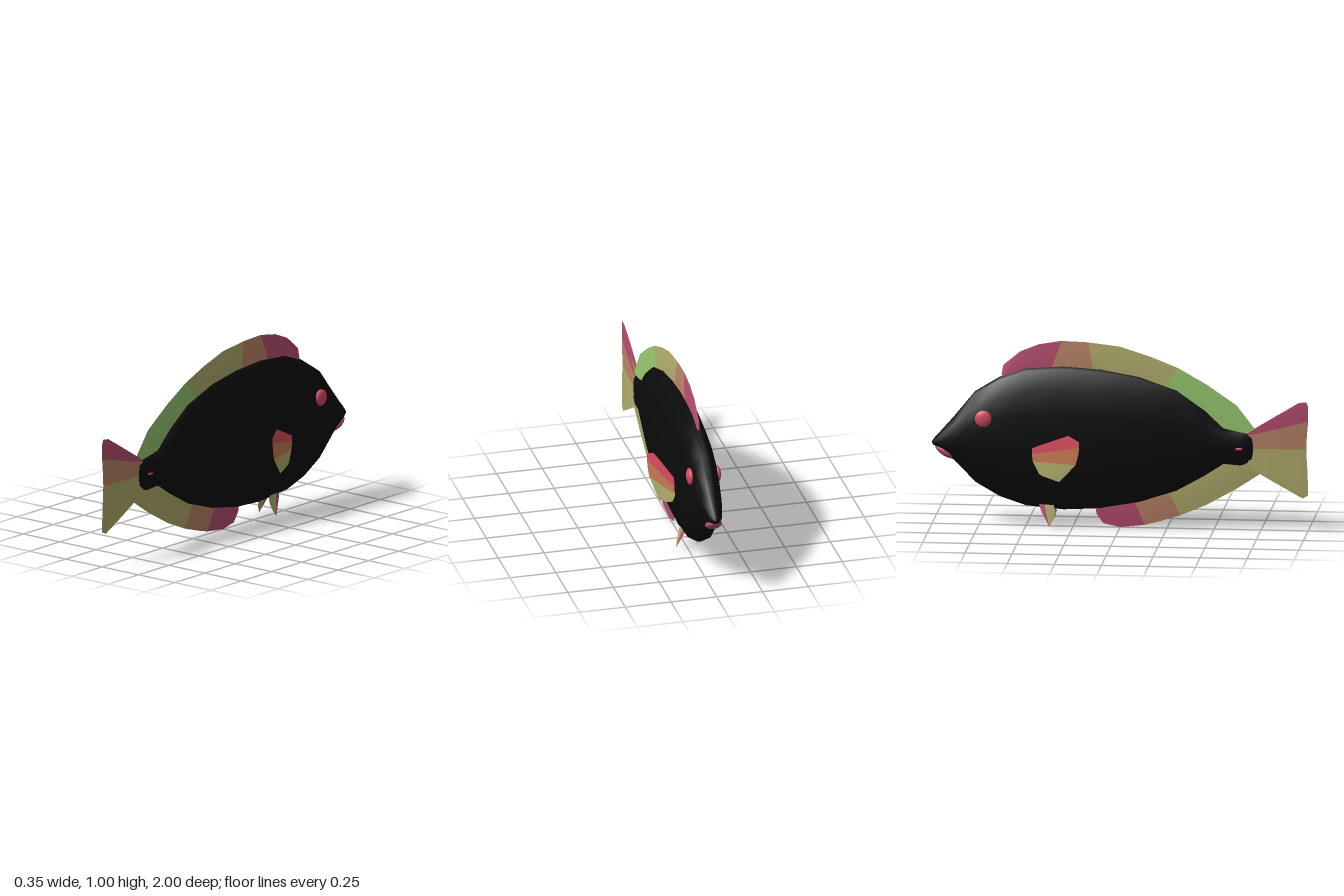
import * as THREE from 'three';

const mat = (name, color, side = THREE.DoubleSide) => {
  const m = new THREE.MeshStandardMaterial({ color, side });
  m.name = name;
  return m;
};

function makeGeometry(positions, index) {
  const g = new THREE.BufferGeometry();
  g.setAttribute('position', new THREE.Float32BufferAttribute(positions, 3));
  g.setIndex(index);
  g.computeVertexNormals();
  return g;
}

// Body lofted from cross-sections: [z, top, bottom, half width]
function bodyGeometry() {
  const sections = [
    [0.72, 0.47, 0.41, 0.005], [0.70, 0.52, 0.36, 0.015], [0.64, 0.53, 0.345, 0.03],
    [0.55, 0.55, 0.352, 0.036], [0.45, 0.645, 0.285, 0.046], [0.3, 0.75, 0.2, 0.062],
    [0.1, 0.82, 0.135, 0.08], [-0.1, 0.855, 0.1, 0.088], [-0.3, 0.868, 0.09, 0.09],
    [-0.5, 0.853, 0.108, 0.088], [-0.64, 0.8, 0.155, 0.086], [-0.77, 0.72, 0.23, 0.077],
    [-0.88, 0.585, 0.345, 0.06], [-0.95, 0.505, 0.395, 0.042], [-0.99, 0.46, 0.425, 0.022],
    [-1, 0.445, 0.435, 0.008],
  ];
  const quarter = [[0, 1], [0.33, 0.96], [0.78, 0.675], [0.95, 0.34], [1, 0]];
  const down = quarter.slice(0, 4).reverse().map(([x, y]) => [x, -y]);
  const half = [...quarter, ...down];
  const ring = [...half, ...half.slice(1, -1).reverse().map(([x, y]) => [-x, y])];
  const n = ring.length, pos = [], idx = [];
  for (const [z, top, bottom, w] of sections) {
    for (const [x, y] of ring) pos.push(x * w, (top + bottom) / 2 + y * (top - bottom) / 2, z);
  }
  for (let i = 0; i < sections.length - 1; i++) {
    for (let j = 0; j < n; j++) {
      const a = i * n + j, b = i * n + (j + 1) % n;
      idx.push(a, a + n, b, b, a + n, b + n);
    }
  }
  // End caps
  const last = (sections.length - 1) * n;
  for (let j = 1; j < n - 1; j++) {
    idx.push(0, j + 1, j);
    idx.push(last, last + j, last + j + 1);
  }
  // Orient every face outward
  const g = makeGeometry(pos, idx);
  return g;
}

// Tapered fin: rows [rootZ, rootY, tipZ, tipY]; bands [last row, material]
function fin(name, rows, bands, thickness, xAt = () => 0) {
  const steps = 4, w = steps + 1, pos = [], idx = [], groups = [];
  for (const side of [1, -1]) {
    for (const [az, ay, bz, by] of rows) {
      for (let j = 0; j <= steps; j++) {
        const t = j / steps;
        const z = az + (bz - az) * t, y = ay + (by - ay) * t;
        pos.push(xAt(y, z) + side * thickness * (1 - t * t), y, z);
      }
    }
  }
  let row = 0;
  bands.forEach(([end], k) => {
    const start = idx.length;
    for (const s of [0, 1]) {
      for (let i = row; i < end; i++) {
        for (let j = 0; j < steps; j++) {
          const a = s * rows.length * w + i * w + j, b = a + 1, c = a + w, d = c + 1;
          if (s) idx.push(a, c, b, b, c, d);
          else idx.push(a, b, c, b, d, c);
        }
      }
    }
    groups.push([start, idx.length - start, k]);
    row = end;
  });
  const g = makeGeometry(pos, idx);
  groups.forEach((p) => g.addGroup(...p));
  const mesh = new THREE.Mesh(g, bands.map((b) => b[1]));
  mesh.name = name;
  return mesh;
}

export function createModel() {
  const black = mat('black skin', 0x0b0b0b);
  const green = mat('green fin', 0x96c870);
  const khaki = mat('khaki fin', 0xb2ad6c);
  const orange = mat('dusty orange fin', 0xba8468);
  const pink = mat('pink fin', 0xb84e70);
  const red = mat('red', 0xd84c5e);
  const coral = mat('coral fin', 0xc87854);

  const fish = new THREE.Group();
  fish.name = 'fish';
  const body = new THREE.Mesh(bodyGeometry(), black);
  body.name = 'body';
  fish.add(body);

  // Fins along the centre line
  fish.add(fin('dorsalFin', [
    [0.70, 0.48, 0.72, 0.54], [0.58, 0.5, 0.62, 0.67], [0.4, 0.62, 0.46, 0.78],
    [0.215, 0.75, 0.31, 0.865], [0.1, 0.8, 0.16, 0.925], [-0.02, 0.83, 0, 0.975],
    [-0.14, 0.84, -0.17, 0.995], [-0.37, 0.84, -0.31, 1], [-0.45, 0.83, -0.43, 0.98],
    [-0.53, 0.82, -0.53, 0.94], [-0.6, 0.79, -0.62, 0.865], [-0.62, 0.78, -0.63, 0.815],
  ], [[3, green], [6, khaki], [7, orange], [11, pink]], 0.009));

  fish.add(fin('analFin', [
    [0.70, 0.38, 0.74, 0.3], [0.58, 0.38, 0.62, 0.22], [0.42, 0.3, 0.46, 0.13],
    [0.25, 0.22, 0.32, 0.07], [0.16, 0.18, 0.19, 0.03], [0.07, 0.16, 0.13, 0.015],
    [0.0, 0.14, 0, 0], [-0.06, 0.13, -0.09, 0.02], [-0.1, 0.13, -0.125, 0.07],
    [-0.12, 0.13, -0.13, 0.1],
  ], [[3, khaki], [5, orange], [9, pink]], 0.009));

  fish.add(fin('tailFin', [
    [0.69, 0.53, 0.95, 0.69], [0.68, 0.52, 0.99, 0.695], [0.68, 0.515, 1, 0.67],
    [0.68, 0.51, 1, 0.59], [0.68, 0.475, 0.993, 0.51], [0.68, 0.44, 0.99, 0.44],
    [0.68, 0.4, 0.995, 0.34], [0.68, 0.36, 1, 0.23], [0.68, 0.345, 1, 0.19],
    [0.69, 0.335, 0.97, 0.175],
  ], [[3, pink], [5, orange], [9, khaki]], 0.011));

  // Paired parts
  for (const s of [1, -1]) {
    const side = s > 0 ? 'left' : 'right';
    fish.add(fin(side + 'PectoralFin', [
      [-0.46, 0.435, -0.26, 0.52], [-0.46, 0.43, -0.2, 0.49], [-0.46, 0.405, -0.2, 0.46],
      [-0.458, 0.385, -0.205, 0.42], [-0.455, 0.365, -0.22, 0.365],
      [-0.42, 0.3, -0.26, 0.32], [-0.4, 0.29, -0.31, 0.265],
    ], [[2, red], [4, coral], [6, khaki]], 0.007, (y, z) => s * (0.085 + (z + 0.46) * 0.345)));

    fish.add(fin(side + 'PelvicFin', [
      [-0.35, 0.12, -0.34, 0.075], [-0.38, 0.12, -0.35, 0.04],
      [-0.4, 0.125, -0.37, 0.005], [-0.43, 0.13, -0.415, 0.085],
    ], [[2, khaki], [3, pink]], 0.005, (y) => s * (0.03 + (0.11 - y) * 0.28)));

    const eye = new THREE.Mesh(new THREE.SphereGeometry(0.045, 20, 14), red);
    eye.name = side + 'Eye';
    eye.scale.x = 0.42;
    eye.position.set(s * 0.074, 0.585, -0.72);
    fish.add(eye);

    const spot = new THREE.Mesh(new THREE.SphereGeometry(0.025, 12, 8), red);
    spot.name = side + 'TailSpot';
    spot.scale.set(0.2, 0.3, 1);
    spot.position.set(s * 0.028, 0.44, 0.63);
    fish.add(spot);
  }

  // Lower lip
  const lip = new THREE.Mesh(new THREE.SphereGeometry(1, 16, 12), pink);
  lip.name = 'lowerLip';
  lip.scale.set(0.044, 0.024, 0.062);
  lip.rotation.x = 0.58;
  lip.position.set(0, 0.393, -0.93);
  fish.add(lip);
  return fish;
}
